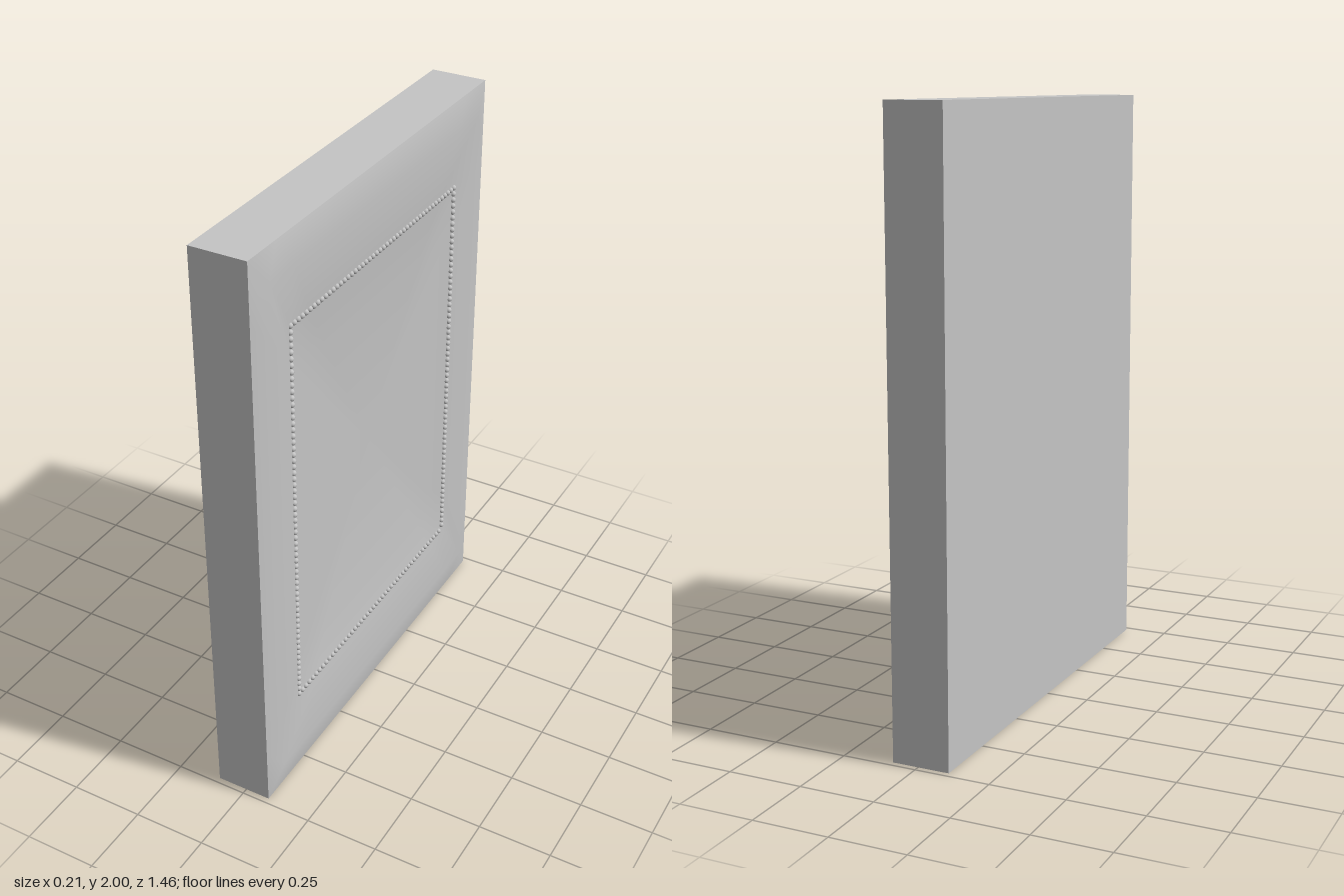
import * as THREE from 'three';

const BACK = -0.105, SEAM = 0.087, HALF_Z = 0.73, HALF_Y = 1;

// Points around a rectangle, counter-clockwise when seen from +x
function rectangle(halfZ, halfY, x, steps) {
  const corners = [[1, -1], [-1, -1], [-1, 1], [1, 1]];
  const points = [];
  corners.forEach(([z0, y0], c) => {
    const [z1, y1] = corners[(c + 1) % 4];
    for (let i = 0; i < steps; i++) {
      const t = i / steps;
      points.push([x, 1 + halfY * (y0 + (y1 - y0) * t), halfZ * (z0 + (z1 - z0) * t)]);
    }
  });
  return points;
}

// Smooth face lofted through nested rectangles, closed at the middle
function loftFace(rings, centreX, steps) {
  const positions = [], index = [], n = steps * 4;
  rings.forEach(([z, y, x]) => positions.push(...rectangle(z, y, x, steps).flat()));
  positions.push(centreX, 1, 0);
  const centre = rings.length * n;
  for (let r = 0; r < rings.length; r++) {
    for (let i = 0; i < n; i++) {
      const a = r * n + i, b = r * n + (i + 1) % n;
      if (r === rings.length - 1) index.push(a, b, centre);
      else index.push(a, b, b + n, a, b + n, a + n);
    }
  }
  const geometry = new THREE.BufferGeometry();
  geometry.setAttribute('position', new THREE.Float32BufferAttribute(positions, 3));
  geometry.setIndex(index);
  geometry.computeVertexNormals();
  return geometry;
}

export function createModel() {
  const group = new THREE.Group();
  const grey = new THREE.MeshStandardMaterial({ color: 0xc4c4c4 });
  grey.name = 'grey';

  // Slab, left open where the moulded face sits
  const slabGeometry = new THREE.BoxGeometry(SEAM - BACK, HALF_Y * 2, HALF_Z * 2);
  slabGeometry.setIndex(Array.from(slabGeometry.index.array).slice(6));
  slabGeometry.clearGroups();
  const slab = new THREE.Mesh(slabGeometry, grey);
  slab.position.set((SEAM + BACK) / 2, 1, 0);
  slab.name = 'slab';
  group.add(slab);

  // Bevelled rim, sloping border and shallow dished panel
  const rings = [
    [HALF_Z, HALF_Y, SEAM],
    [0.65, 0.9, 0.104],
    [0.52, 0.7, 0.088],
    [0.475, 0.645, 0.082],
  ];
  const centreX = 0.06;
  for (let s = 0.85; s > 0.1; s -= 0.15) {
    rings.push([0.475 * s, 0.645 * s, centreX + 0.022 * s * s]);
  }
  const face = new THREE.Mesh(loftFace(rings, centreX, 10), grey);
  face.name = 'mouldedFace';
  group.add(face);

  // Row of beads around the panel
  const beadGeometry = new THREE.SphereGeometry(0.0095, 10, 7);
  const beads = new THREE.Group();
  beads.name = 'beadBorder';
  const addBead = (y, z) => {
    const bead = new THREE.Mesh(beadGeometry, grey);
    bead.position.set(0.088, y, z);
    bead.name = 'bead';
    beads.add(bead);
  };
  const zMax = 0.525, zMin = -0.515, yMin = 0.305, yMax = 1.702;
  const across = 47, along = 63;
  for (let i = 0; i < across; i++) {
    const t = i / across;
    addBead(yMax, zMax + (zMin - zMax) * t);
    addBead(yMin, zMax + (zMin - zMax) * t);
  }
  for (let i = 0; i < along; i++) {
    const t = (i + 1) / along;
    if (i < along - 1) addBead(yMin + (yMax - yMin) * t, zMax);
    addBead(yMin + 0.015 + (yMax - yMin - 0.015) * t, zMin);
  }
  addBead(yMin + 0.015, zMin);
  group.add(beads);

  return group;
}
